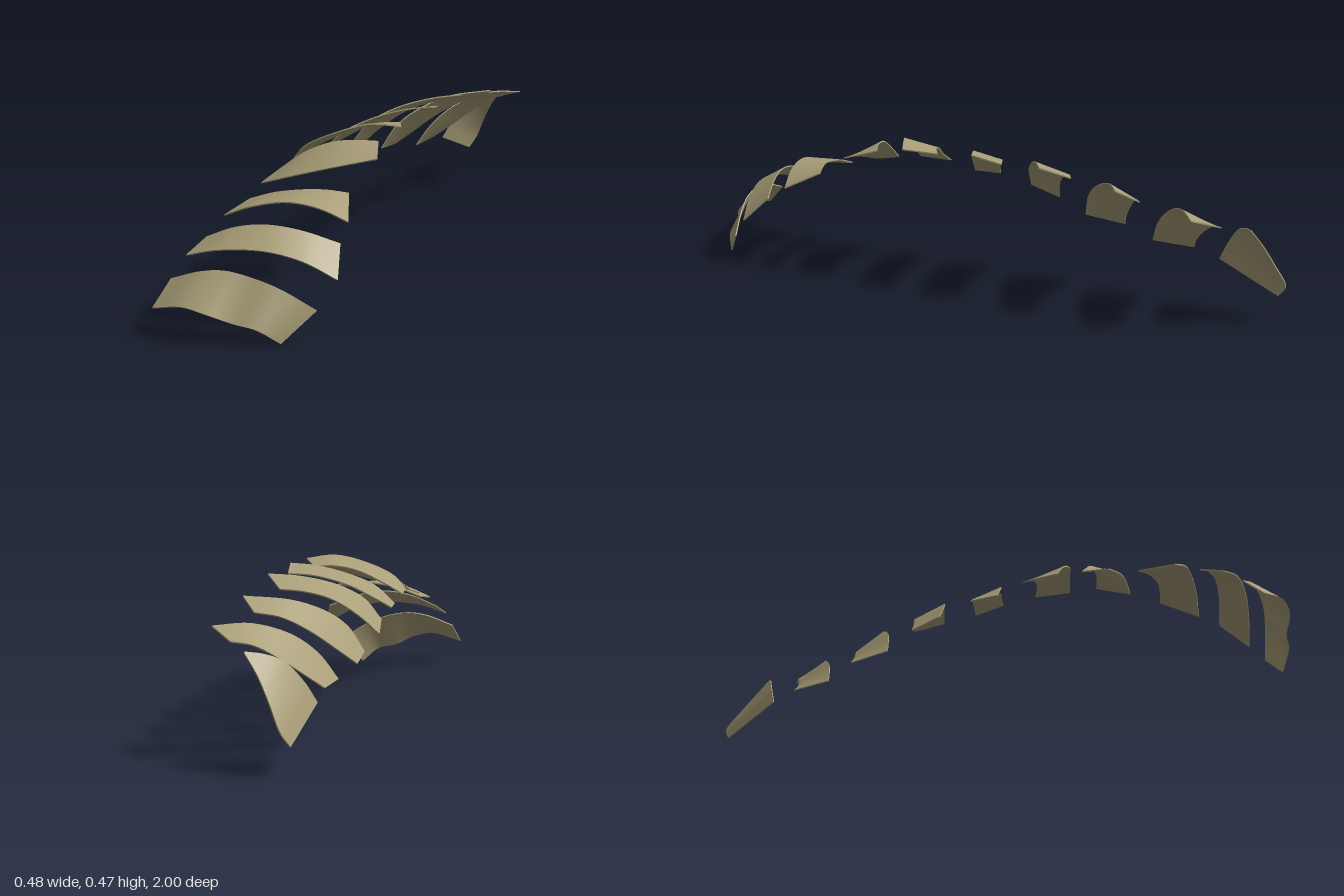
import * as THREE from 'three';
import { toCreasedNormals } from 'three/addons/utils/BufferGeometryUtils.js';

const THICKNESS = 0.004;
const STEPS = 28;

const tan = new THREE.MeshStandardMaterial({ color: 0xa99e78 });
tan.name = 'tan';

const curve = (points) => new THREE.CatmullRomCurve3(points.map((p) => new THREE.Vector3(...p)));

// Thin curved plate lofted between a front and a back edge, both running right to left (-x to +x)
function plate(name, frontPoints, backPoints) {
  const front = curve(frontPoints);
  const back = curve(backPoints);
  const positions = [];
  const index = [];

  // four-cornered cross-sections: front top, back top, back bottom, front bottom
  for (let i = 0; i <= STEPS; i++) {
    const t = i / STEPS;
    const f = front.getPoint(t);
    const b = back.getPoint(t);
    const along = front.getTangent(t).add(back.getTangent(t));
    const drop = along.cross(b.clone().sub(f)).normalize().multiplyScalar(-THICKNESS);
    for (const p of [f, b, b.clone().add(drop), f.clone().add(drop)]) positions.push(p.x, p.y, p.z);
  }
  for (let i = 0; i < STEPS; i++) {
    for (let k = 0; k < 4; k++) {
      const n = (k + 1) % 4;
      const a = i * 4;
      index.push(a + k, a + 4 + k, a + 4 + n, a + k, a + 4 + n, a + n);
    }
  }
  // end caps
  const e = STEPS * 4;
  index.push(0, 1, 2, 0, 2, 3, e, e + 2, e + 1, e, e + 3, e + 2);

  const geometry = new THREE.BufferGeometry();
  geometry.setAttribute('position', new THREE.Float32BufferAttribute(positions, 3));
  geometry.setIndex(index);
  const mesh = new THREE.Mesh(toCreasedNormals(geometry, 0.7), tan);
  mesh.name = name;
  return mesh;
}

export function createModel() {
  const group = new THREE.Group();
  group.name = 'curvedPlates';

  // plates in order from the front to the back of the arch
  group.add(
    plate('frontPlate',
      [[-.21, .08, .99], [-.1, .104, .998], [-.03, .09, .985], [.03, .061, .945], [.09, .048, .925], [.14, .002, .88]],
      [[-.195, .147, .92], [-.1, .181, .91], [-.03, .19, .895], [.05, .176, .875], [.12, .146, .845], [.208, .086, .8]]),
    plate('secondPlate',
      [[-.185, .2, .86], [-.08, .23, .855], [.05, .237, .82], [.15, .212, .78], [.237, .16, .737]],
      [[-.17, .234, .78], [-.08, .272, .765], [.01, .287, .745], [.1, .275, .71], [.2, .238, .66]]),
    plate('thirdPlate',
      [[-.165, .277, .7], [-.08, .312, .69], [.02, .332, .66], [.11, .319, .63], [.188, .281, .596]],
      [[-.16, .294, .575], [-.08, .322, .565], [.02, .34, .545], [.08, .34, .52], [.13, .332, .495]]),
    plate('fourthPlate',
      [[-.18, .317, .487], [-.09, .345, .475], [0, .37, .445], [.08, .39, .41], [.155, .408, .375]],
      [[-.175, .338, .39], [-.1, .394, .375], [-.02, .43, .345], [.05, .438, .315], [.105, .434, .28]]),
    plate('fifthPlate',
      [[-.18, .352, .305], [-.14, .395, .303], [-.05, .44, .275], [.04, .466, .22], [.122, .457, .17]],
      [[-.2, .348, .195], [-.14, .382, .185], [-.06, .425, .15], [.01, .442, .115], [.065, .443, .075]]),
    plate('sixthPlate',
      [[-.2, .328, .1], [-.14, .388, .075], [-.05, .435, .01], [.03, .458, -.035], [.095, .466, -.07]],
      [[-.215, .327, .01], [-.16, .362, -.02], [-.09, .405, -.07], [0, .436, -.125], [.07, .444, -.165]]),
    plate('seventhPlate',
      [[-.215, .305, -.107], [-.165, .37, -.125], [-.09, .418, -.18], [0, .446, -.245], [.085, .457, -.305]],
      [[-.235, .273, -.2], [-.18, .33, -.23], [-.11, .385, -.285], [-.04, .412, -.34], [.02, .421, -.38]]),
    plate('eighthPlate',
      [[-.22, .235, -.305], [-.18, .31, -.335], [-.13, .36, -.385], [-.05, .402, -.47], [.07, .42, -.555]],
      [[-.238, .22, -.438], [-.19, .26, -.465], [-.12, .32, -.515], [-.05, .364, -.565], [.015, .381, -.61]]),
    plate('ninthPlate',
      [[-.215, .192, -.547], [-.17, .268, -.585], [-.11, .33, -.65], [-.02, .368, -.73], [.068, .367, -.8]],
      [[-.22, .191, -.687], [-.17, .23, -.715], [-.11, .282, -.765], [-.06, .32, -.815], [-.01, .337, -.863]]),
    // tapered plate closing the back end
    plate('backPlate',
      [[-.226, .166, -.77], [-.2, .227, -.805], [-.16, .287, -.85], [-.12, .311, -.89], [-.075, .322, -.928]],
      [[-.218, .084, -.97], [-.2, .125, -.998], [-.16, .2, -.975], [-.12, .265, -.952], [-.078, .317, -.932]]),
  );
  return group;
}
